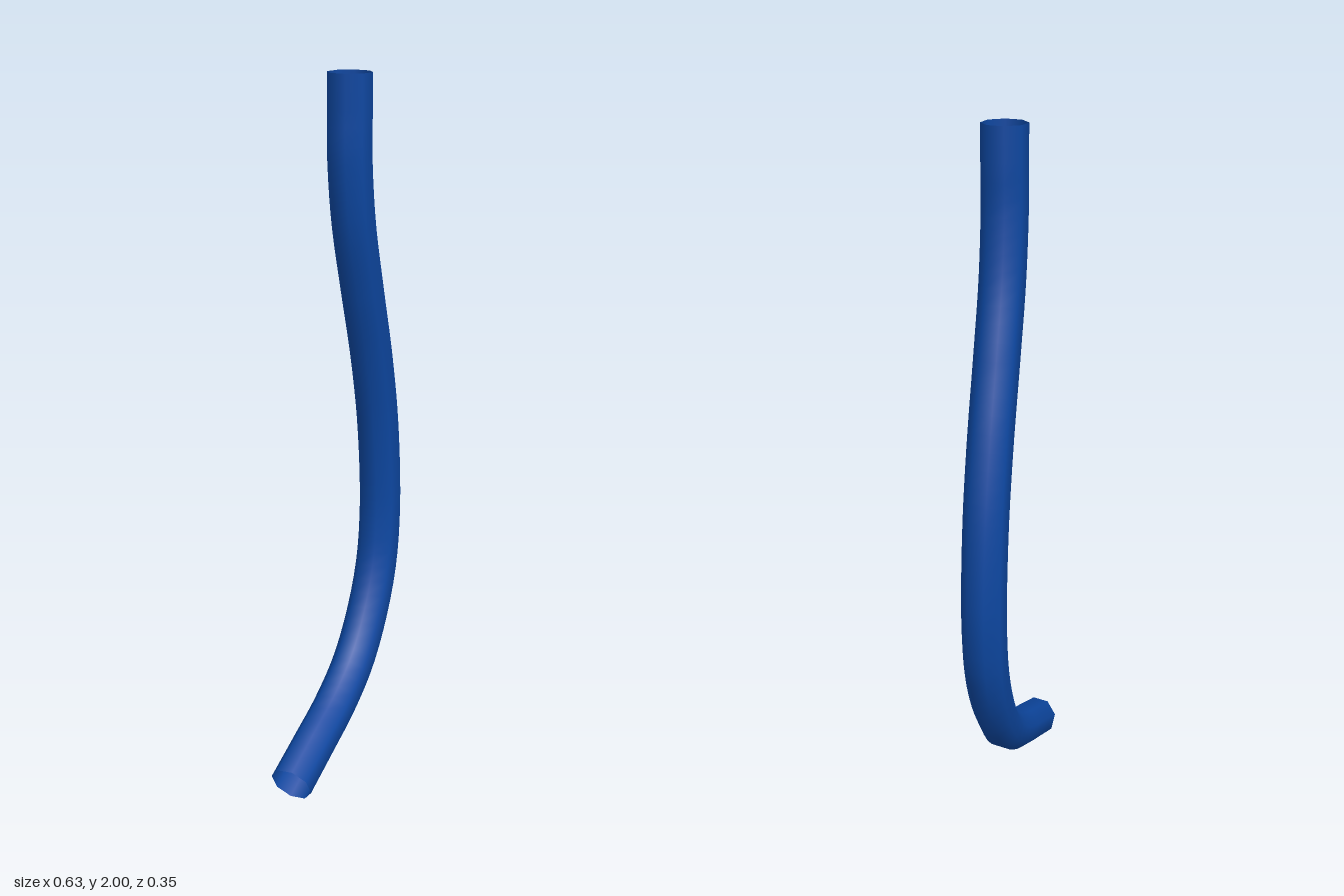
import * as THREE from 'three';

export function createModel() {
  const group = new THREE.Group();
  group.name = 'bentTube';

  // Centre line, top to bottom, as [x, y]; it lies in one upright slanted plane
  const profile = [
    [0.053, 2], [0.053, 1.9], [0.053, 1.78], [0.075, 1.6], [0.127, 1.4], [0.183, 1.2],
    [0.225, 1], [0.246, 0.8], [0.247, 0.67], [0.228, 0.53], [0.175, 0.395],
    [0.085, 0.265], [-0.03, 0.178], [-0.16, 0.115], [-0.285, 0.057],
  ];
  // The path is turned before sweeping and turned back after, to set the octagon's angle
  const twist = 0.12;
  const up = new THREE.Vector3(0, 1, 0);
  const points = profile.map(([x, y]) =>
    new THREE.Vector3(x, y, -0.007 - 0.44 * x).applyAxisAngle(up, twist));
  const path = new THREE.CatmullRomCurve3(points, false, 'centripetal');

  // Open eight-sided tube
  const geometry = new THREE.TubeGeometry(path, 48, 0.062, 8, false);
  geometry.rotateY(-twist);
  const tube = new THREE.Mesh(geometry,
    new THREE.MeshStandardMaterial({ color: 0x0d47a1, side: THREE.DoubleSide }));
  tube.name = 'tube';
  group.add(tube);
  return group;
}
